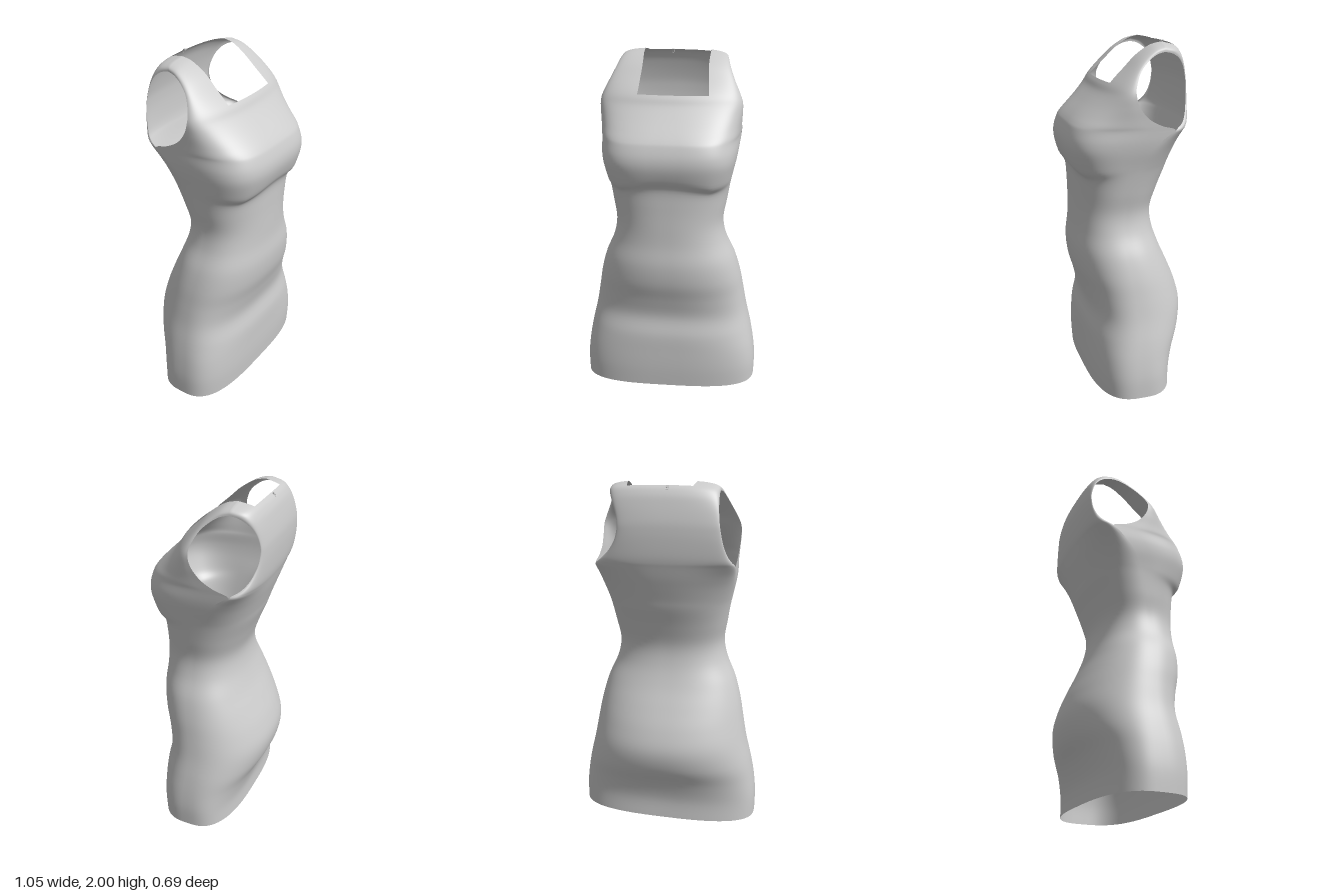
import * as THREE from 'three';
import { mergeVertices } from 'three/addons/utils/BufferGeometryUtils.js';

// Body sections: height, half width, side z, front z, back z, roundness exponents of front and back
const BODY = [
  [0.00, 0.525, 0.00, 0.240, -0.230, 3.1, 2.8],
  [0.12, 0.525, 0.00, 0.248, -0.232, 3.1, 2.8],
  [0.24, 0.512, 0.00, 0.250, -0.265, 3.0, 2.6],
  [0.36, 0.490, -0.01, 0.248, -0.322, 2.8, 2.3],
  [0.48, 0.462, -0.01, 0.230, -0.342, 2.7, 2.2],
  [0.60, 0.440, 0.00, 0.255, -0.312, 2.5, 2.2],
  [0.72, 0.417, 0.02, 0.290, -0.260, 2.4, 2.3],
  [0.84, 0.382, 0.04, 0.302, -0.205, 2.4, 2.4],
  [0.96, 0.330, 0.06, 0.292, -0.167, 2.4, 2.4],
  [1.07, 0.310, 0.06, 0.290, -0.160, 2.4, 2.4],
  [1.19, 0.328, 0.04, 0.290, -0.195, 2.5, 2.4],
  [1.30, 0.346, 0.01, 0.295, -0.237, 2.8, 2.4],
  [1.36, 0.358, -0.02, 0.325, -0.256, 3.3, 2.4],
  [1.43, 0.375, -0.06, 0.345, -0.280, 3.8, 2.4],
  [1.49, 0.385, -0.12, 0.345, -0.300, 3.9, 2.4],
  [1.55, 0.390, -0.20, 0.327, -0.317, 3.9, 2.4],
];
// Yoke sections: armhole edge y, x, z, then centre line y, z, exponent
const YOKE_FRONT = [
  [1.58, 0.392, -0.12, 1.58, 0.310, 3.5],
  [1.62, 0.394, -0.05, 1.62, 0.275, 3.0],
  [1.68, 0.398, 0.00, 1.68, 0.215, 2.6],
  [1.74, 0.397, 0.02, 1.735, 0.165, 2.3],
  [1.79, 0.380, 0.015, 1.79, 0.130, 2.1],
  [1.86, 0.345, -0.02, 1.87, 0.040, 2.3],
  [1.91, 0.322, -0.07, 1.935, -0.030, 2.5],
  [1.94, 0.308, -0.12, 1.985, -0.110, 2.8],
  [1.95, 0.300, -0.165, 2.000, -0.175, 3],
];
const YOKE_BACK = [
  [1.58, 0.374, -0.250, 1.58, -0.325, 2.4],
  [1.62, 0.352, -0.282, 1.62, -0.331, 2.3],
  [1.68, 0.332, -0.303, 1.68, -0.335, 2.2],
  [1.74, 0.320, -0.310, 1.74, -0.336, 2.1],
  [1.79, 0.312, -0.308, 1.80, -0.332, 2],
  [1.86, 0.305, -0.288, 1.88, -0.315, 2.2],
  [1.91, 0.302, -0.255, 1.94, -0.295, 2.4],
  [1.94, 0.300, -0.210, 1.98, -0.260, 2.7],
  [1.95, 0.300, -0.165, 2.000, -0.175, 3],
];
const SUB = 5;          // smooth rows between sections
const Q = 24;           // columns in a quarter turn
const NECK_LEFT = 15;   // columns from the armhole to the neckline
const NECK_RIGHT = 17;

// Smooth value between sections
function sample(rows, t) {
  const i = Math.min(Math.floor(t), rows.length - 2), f = t - i;
  const at = k => rows[Math.max(0, Math.min(rows.length - 1, k))];
  return rows[i].map((b, c) => {
    const a = at(i - 1)[c], d = at(i + 1)[c], e = at(i + 2)[c];
    return b + 0.5 * f * (d - a + f * (2 * a - 5 * b + 4 * d - e + f * (3 * (b - d) + e - a)));
  });
}

// One half of the dress, running from the left side across the centre to the right
function addHalf(pos, index, rows, neckRow, isBack) {
  const base = pos.length / 3, cols = 2 * Q + 1, last = (rows.length - 1) * SUB;
  for (let r = 0; r <= last; r++) {
    const [ya, xa, za, yc, zc, n] = sample(rows, r / SUB);
    // The left armhole is cut deeper into the back
    const h = Math.max(0, Math.min(1, (ya - 1.55) / 0.4));
    const leftWidth = isBack ? 1 - 0.25 * Math.sin(h * Math.PI) : 1;
    for (let j = 0; j < cols; j++) {
      const a = (Math.min(j, 2 * Q - j) / Q) * Math.PI / 2;
      const side = j < Q ? leftWidth : -1;
      const x = j === Q ? 0 : side * xa * Math.pow(Math.cos(a), 2 / n);
      const s = Math.pow(Math.sin(a), 2 / n);
      const y = ya + (yc - ya) * s;
      // The hem rises slightly towards the left
      const hem = Math.max(0, 1 - y / 0.4) * 0.015 * (1 + x / 0.525);
      // The fold under the bust drops towards the sides
      const fold = isBack ? 0 : 0.04 * s * Math.min(1, (x / 0.25) ** 2) * Math.exp(-(((y - 1.34) / 0.06) ** 2));
      pos.push(x, y + hem - fold, za + (zc - za) * s);
    }
  }
  for (let r = 0; r < last; r++) {
    for (let j = 0; j < cols - 1; j++) {
      // Neck opening
      if (r >= neckRow * SUB && j >= NECK_LEFT && j < 2 * Q - NECK_RIGHT) continue;
      const p = base + r * cols + j, up = p + cols;
      if (isBack) index.push(p, p + 1, up, p + 1, up + 1, up);
      else index.push(p, up, p + 1, p + 1, up, up + 1);
    }
  }
}

export function createModel() {
  const group = new THREE.Group();
  group.name = 'dress';
  const material = new THREE.MeshStandardMaterial({ color: 0xcccccc, side: THREE.DoubleSide });

  // Fabric shell, with front and back welded at the sides and shoulders
  const front = BODY.map(([y, w, zs, zf, , n]) => [y, w, zs, y, zf, n]).concat(YOKE_FRONT);
  const back = BODY.map(([y, w, zs, , zb, , n]) => [y, w, zs, y, zb, n]).concat(YOKE_BACK);
  const pos = [], index = [];
  addHalf(pos, index, front, BODY.length + 4, false);
  addHalf(pos, index, back, BODY.length + 7, true);
  let geometry = new THREE.BufferGeometry();
  geometry.setAttribute('position', new THREE.Float32BufferAttribute(pos, 3));
  geometry.setIndex(index);
  geometry = mergeVertices(geometry, 1e-4);
  geometry.computeVertexNormals();
  const shell = new THREE.Mesh(geometry, material);
  shell.name = 'dressFabric';
  group.add(shell);

  // Small zip pull at the back of the neck
  const zip = new THREE.Group();
  zip.name = 'zipPull';
  const slider = new THREE.Mesh(new THREE.BoxGeometry(0.014, 0.012, 0.012), material);
  slider.name = 'zipSlider';
  const ring = new THREE.Mesh(new THREE.TorusGeometry(0.007, 0.002, 6, 14), material);
  ring.name = 'zipRing';
  ring.position.set(0, -0.013, -0.003);
  zip.add(slider, ring);
  zip.position.set(-0.03, 1.973, -0.272);
  zip.rotation.x = 0.5;
  group.add(zip);

  return group;
}
